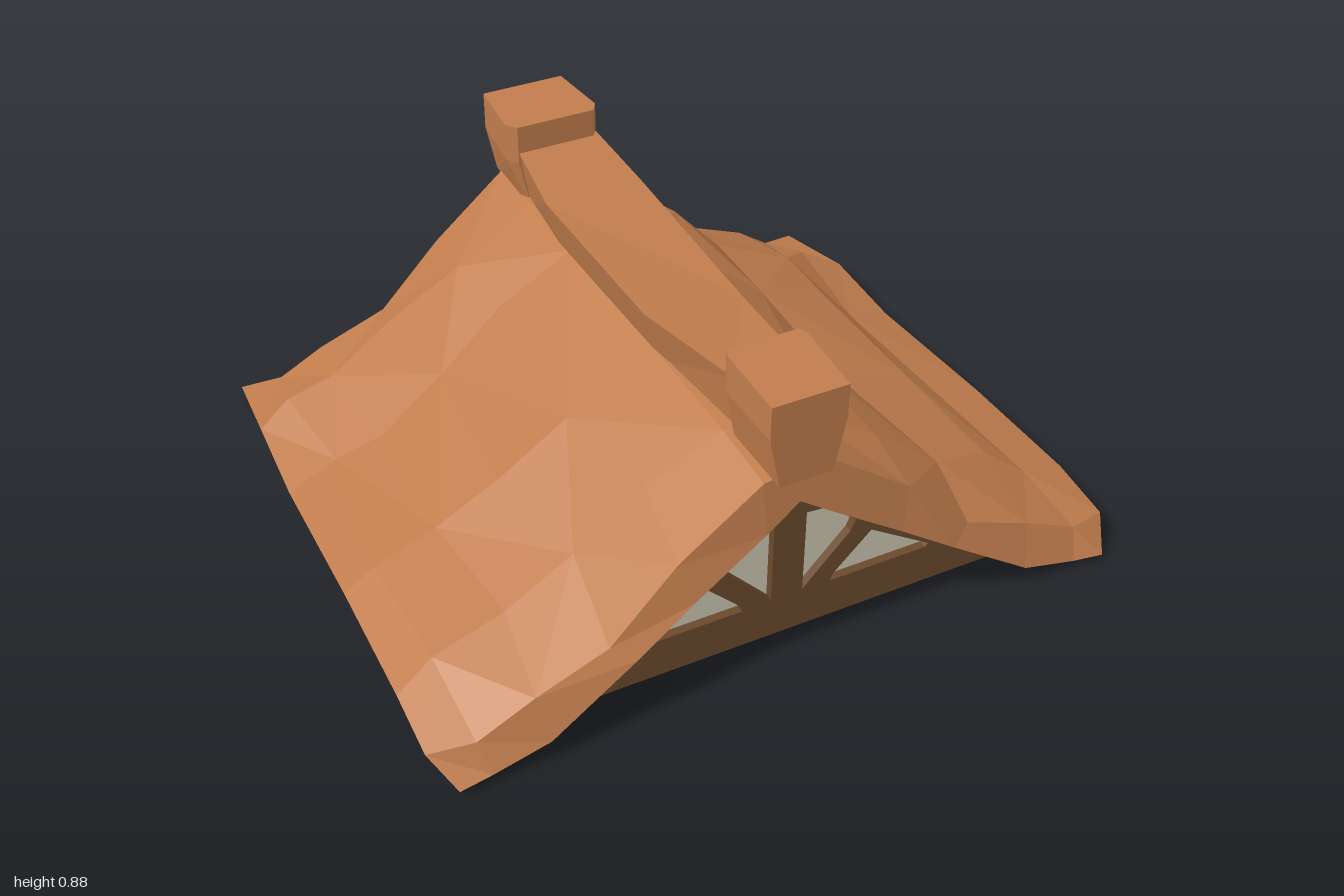
import * as THREE from 'three';

const material = (name, color, extra = {}) => {
  const m = new THREE.MeshStandardMaterial({ color, ...extra });
  m.name = name;
  return m;
};

// Small seeded generator for the hand-hewn unevenness
function seeded(seed) {
  return () => {
    seed = (seed * 16807) % 2147483647;
    return (seed / 2147483647) * 2 - 1;
  };
}

// Faceted solid from closed cross-sections running from front (+z) to back.
// Each ring starts at its upper left and runs clockwise as seen from the front.
function loft(rings) {
  const pos = [];
  const tri = (...p) => p.forEach((v) => pos.push(...v));
  const quad = (a, b, c, d, flip) => {
    if (flip) { tri(a, b, d); tri(b, c, d); } else { tri(a, b, c); tri(a, c, d); }
  };
  const n = rings[0].length;
  for (let j = 0; j < rings.length - 1; j++) {
    for (let i = 0; i < n; i++) {
      const k = (i + 1) % n;
      quad(rings[j][i], rings[j][k], rings[j + 1][k], rings[j + 1][i], (i + j) % 2);
    }
  }
  const first = rings[0], last = rings[rings.length - 1];
  for (let i = 0; i < n / 2 - 1; i++) {
    const o = n - 1 - i;
    quad(first[i], first[o], first[o - 1], first[i + 1]);
    quad(last[i], last[i + 1], last[o - 1], last[o]);
  }
  const g = new THREE.BufferGeometry();
  g.setAttribute('position', new THREE.Float32BufferAttribute(pos, 3));
  g.computeVertexNormals();
  return g;
}

// Thick sagging roof: matching outer and inner half profiles, mirrored
function roofGeometry() {
  const rand = seeded(41);
  const outX = [0, 0.1, 0.33, 0.52, 0.72, 0.88, 1.0];
  const endY = [0.63, 0.615, 0.445, 0.258, 0.178, 0.105, 0.085];
  const midY = [0.65, 0.63, 0.485, 0.33, 0.215, 0.145, 0.085];
  const inX = [0, 0.1, 0.3, 0.46, 0.7, 0.86, 0.95];
  const inY = [0.53, 0.463, 0.329, 0.222, 0.06, 0.025, 0.02];
  // Front and back edges lean outwards towards the eaves
  const frontOut = [0.82, 0.82, 0.82, 0.83, 0.83, 0.835, 0.8];
  const frontIn = [0.83, 0.84, 0.85, 0.865, 0.875, 0.88, 0.89];
  const backOut = [-0.81, -0.81, -0.785, -0.775, -0.79, -0.83, -0.87];
  const backIn = [-0.81, -0.815, -0.82, -0.825, -0.835, -0.85, -0.89];
  const stations = [
    { z: 0.82, eave: 0, w: 1 },
    { z: 0.61, eave: 0.025, w: 1 },
    { z: 0.2, eave: 0.018, w: 0.995 },
    { z: -0.3, eave: -0.015, w: 0.99 },
    { z: -0.58, eave: 0.01, w: 0.983 },
    { z: -0.8, eave: -0.02, w: 0.96 },
  ];
  const rings = stations.map((s, j) => {
    const front = j === 0, back = j === stations.length - 1, end = front || back;
    const outer = [], inner = [];
    for (let i = -6; i <= 6; i++) {
      const k = Math.abs(i), side = Math.sign(i);
      const lift = s.eave * Math.max(0, (k - 3) / 3);
      const rough = !end && k > 1 && k < 6 ? 1 : 0;
      const edge = k > 4 ? s.w : 1;
      let y = (end ? endY : midY)[k] + lift + rough * rand() * 0.014;
      if (back && k > 4) y -= 0.02;
      outer.push([
        side * outX[k] * edge + rough * rand() * 0.035,
        y,
        front ? frontOut[k] : back ? backOut[k] : s.z + rough * rand() * 0.06,
      ]);
      inner.push([
        side * inX[k] * (k > 5 && !back ? s.w : 1),
        inY[k] + (k > 4 ? lift : 0),
        front ? frontIn[k] : back ? backIn[k] : s.z,
      ]);
    }
    return [...outer, ...inner.reverse()];
  });
  return loft(rings);
}

// Sagging ridge beam, wider at the top
function ridgeGeometry() {
  return loft([
    [0.63, -0.085, 0.1, 0.8, 0.8],
    [0.23, -0.13, 0.155, 0.75, 0.725],
    [-0.36, -0.145, 0.15, 0.76, 0.76],
    [-0.63, -0.115, 0.135, 0.785, 0.785],
  ].map(([z, l, r, yl, yr]) => [
    [l, yl, z], [r, yr, z], [r * 0.72, 0.6, z], [l * 0.72, 0.6, z],
  ]));
}

// End block: straight upper half, tapered lower half
function endBlock(sections) {
  return loft(sections.map(([z, w, top, mid, bottom, taper]) => [
    [-w, top, z], [w, top, z], [w, mid, z],
    [w * taper, bottom, z], [-w * taper, bottom, z], [-w, mid, z],
  ]));
}

const toShape = (pts, side = 1) =>
  new THREE.Shape(pts.map(([x, y]) => new THREE.Vector2(side * x, y)));

// Gable wall with four recessed panes; its outer face lies at z = 0
function makeGable(name, wood, pane) {
  const gable = new THREE.Group();
  gable.name = name;
  const outline = [[-0.715, 0.06], [0.715, 0.06], [0, 0.54]];
  const panes = [
    [[0.046, 0.185], [0.18, 0.33], [0.195, 0.365], [0.1, 0.44], [0.046, 0.445]],
    [[0.13, 0.18], [0.42, 0.18], [0.43, 0.19], [0.245, 0.31], [0.135, 0.2]],
  ];
  const extrude = (shape, depth) =>
    new THREE.ExtrudeGeometry(shape, { depth, bevelEnabled: false });
  const add = (part, geometry, mat, z) => {
    const mesh = new THREE.Mesh(geometry, mat);
    mesh.name = part;
    mesh.position.z = z;
    gable.add(mesh);
  };

  const frame = toShape(outline);
  for (const side of [-1, 1]) {
    for (const p of panes) {
      frame.holes.push(toShape(p, side));
      add('windowPane', extrude(toShape(p, side), 0.006), pane, -0.03);
    }
  }
  add('timberFrame', extrude(frame, 0.03), wood, -0.03);
  add('gableBacking', extrude(toShape(outline), 0.11), wood, -0.14);
  return gable;
}

export function createModel() {
  const clay = material('roofClay', 0xc17d4d, { side: THREE.FrontSide });
  const wood = material('darkWood', 0x6b4a2d);
  const pane = material('creamPane', 0xcfc9b5);

  const model = new THREE.Group();
  model.name = 'gabledRoof';
  const add = (name, geometry) => {
    const mesh = new THREE.Mesh(geometry, clay);
    mesh.name = name;
    model.add(mesh);
  };

  add('roofShell', roofGeometry());
  add('ridgeBeam', ridgeGeometry());
  add('frontRidgeBlock', endBlock([
    [0.85, 0.106, 0.868, 0.77, 0.615, 0.7],
    [0.64, 0.11, 0.88, 0.77, 0.625, 0.75],
    [0.615, 0.1, 0.88, 0.77, 0.63, 0.75],
  ]));
  add('backRidgeBlock', endBlock([
    [-0.612, 0.12, 0.868, 0.75, 0.61, 0.75],
    [-0.65, 0.143, 0.865, 0.75, 0.605, 0.7],
    [-0.855, 0.125, 0.862, 0.75, 0.6, 0.75],
  ]));

  // Front and back gable walls
  const front = makeGable('frontGable', wood, pane);
  front.position.z = 0.79;
  const back = makeGable('backGable', wood, pane);
  back.rotation.y = Math.PI;
  back.position.z = -0.76;
  model.add(front, back);
  return model;
}
